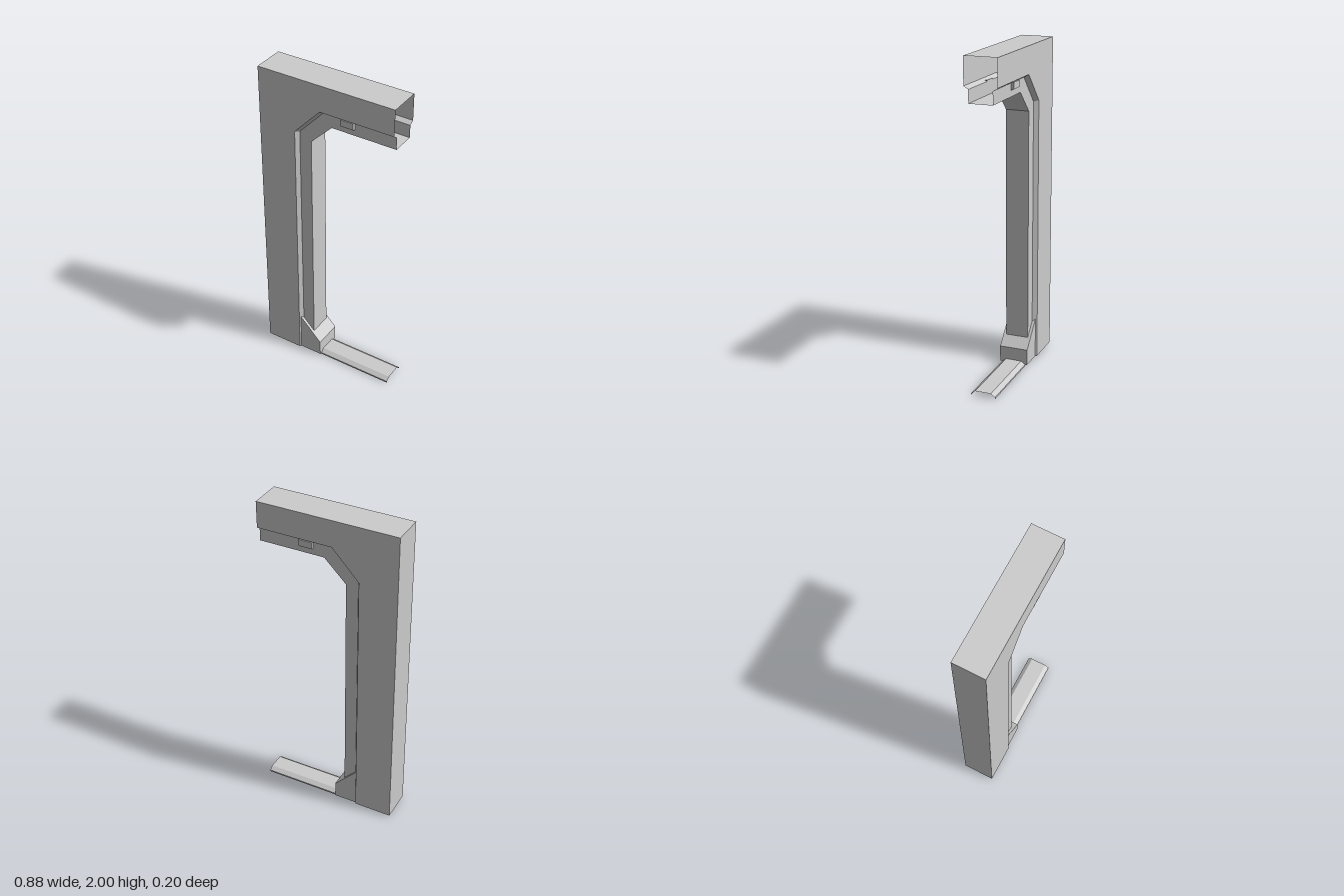
import * as THREE from 'three';

const material = new THREE.MeshStandardMaterial({ color: 0xcccccc, flatShading: true, side: THREE.DoubleSide });

// Skin a row of cross-sections (each a list of [x, y, z]) with flat quads.
function skin(name, sections, closed) {
  const pos = [];
  const tri = (a, b, c) => {
    const t = new THREE.Triangle(new THREE.Vector3(...a), new THREE.Vector3(...b), new THREE.Vector3(...c));
    if (t.getArea() > 1e-7) pos.push(...a, ...b, ...c);
  };
  for (let i = 0; i < sections.length - 1; i++) {
    const p = sections[i], q = sections[i + 1];
    const count = closed ? p.length : p.length - 1;
    for (let j = 0; j < count; j++) {
      const k = (j + 1) % p.length;
      tri(p[j], q[j], q[k]);
      tri(p[j], q[k], p[k]);
    }
  }
  const geo = new THREE.BufferGeometry();
  geo.setAttribute('position', new THREE.Float32BufferAttribute(pos, 3));
  geo.computeVertexNormals();
  const mesh = new THREE.Mesh(geo, material);
  mesh.name = name;
  return mesh;
}

export function createModel() {
  const group = new THREE.Group();
  group.name = 'doorFrameHalf';

  // Post and lintel: hollow section swept round the corner, open at both ends
  const outer = [[-0.44, 0.01], [-0.44, 2], [-0.44, 2], [0.436, 2]];
  const face = [[-0.203, 0.01], [-0.203, 1.655], [-0.035, 1.835], [0.436, 1.835]];
  const step = [[-0.187, 0.01], [-0.187, 1.647], [-0.028, 1.818], [0.436, 1.818]];
  const reveal = [[-0.11, 0.01], [-0.11, 1.605], [0.026, 1.74], [0.436, 1.74]];
  const sections = outer.map((o, i) => {
    const half = [[...o, 0.1], [...face[i], 0.1], [...step[i], 0.072], [...reveal[i], 0.072]];
    return [...half, ...half.map(([x, y, z]) => [x, y, -z]).reverse()];
  });
  group.add(skin('frame', sections, true));

  // Foot block with a sloping top, open underneath
  const foot = [[-0.2, 0.01], [-0.2, 0.265], [-0.053, 0.11], [-0.053, 0.01]];
  const footShape = new THREE.Shape(foot.map(([x, y]) => new THREE.Vector2(x, y)));
  group.add(skin('footTop', [0.09, -0.09].map(z => foot.slice(1).map(([x, y]) => [x, y, z])), false));
  for (const side of [1, -1]) {
    const cheek = new THREE.Mesh(new THREE.ShapeGeometry(footShape), material);
    cheek.position.z = side * 0.09;
    if (side < 0) {
      // Mirror so the back cheek faces outward
      cheek.scale.z = -1;
    }
    cheek.name = 'footCheek';
    group.add(cheek);

    // Small catch under the lintel step, tapering toward its lower edge
    const catchSection = x => [[x, 1.825, 0.072], [x, 1.825, 0.092], [x, 1.785, 0.092], [x, 1.777, 0.072]]
      .map(([a, b, c]) => [a, b, c * side]);
    const ends = [catchSection(0.095), catchSection(0.175)];
    const centre = x => Array(4).fill([x, 1.80, 0.08 * side]);
    group.add(skin('catch', [centre(0.095), ...ends, centre(0.175)], true));
  }

  // Threshold strip: shallow channel with sloping sides
  const sill = x => [[x, 0, 0.076], [x, 0.01, 0.076], [x, 0.03, 0.05],
    [x, 0.03, -0.05], [x, 0.01, -0.076], [x, 0, -0.076]];
  group.add(skin('threshold', [sill(-0.08), sill(0.436)], false));

  return group;
}
